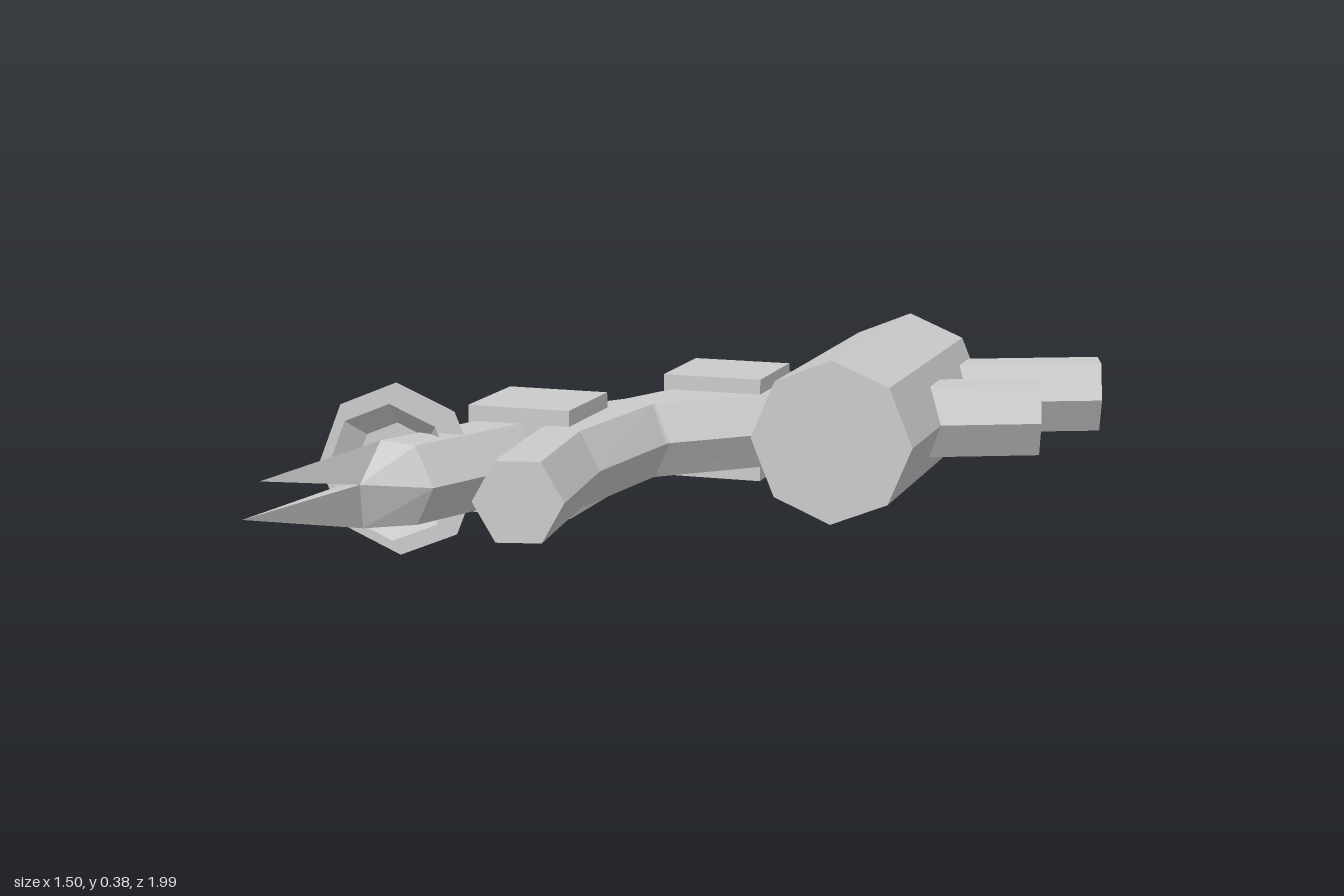
import * as THREE from 'three';
import { ConvexGeometry } from 'three/addons/geometries/ConvexGeometry.js';

const MID = 0.195; // height of every part's axis
const HALF = 0.085; // half height of the hexagonal limbs

const material = new THREE.MeshStandardMaterial({ color: 0xcccccc, flatShading: true });
const thinMaterial = new THREE.MeshStandardMaterial({
  color: 0xcccccc, flatShading: true, side: THREE.DoubleSide,
});

function part(name, geometry, mat = material) {
  const mesh = new THREE.Mesh(geometry, mat);
  mesh.name = name;
  return mesh;
}

// Hexagon between two side corners, given as [x, z] pairs
function hexRing([ax, az, bx, bz]) {
  const at = (t, y) => new THREE.Vector3(ax + (bx - ax) * t, MID + y, az + (bz - az) * t);
  return [at(0, 0), at(0.25, HALF), at(0.75, HALF), at(1, 0), at(0.75, -HALF), at(0.25, -HALF)];
}

// Hexagonal limb swept through a list of cross-sections, closed at both ends
function limb(name, sections) {
  const rings = sections.map(hexRing);
  const points = [];
  for (let r = 0; r < rings.length - 1; r++) {
    const p = rings[r], q = rings[r + 1];
    for (let i = 0; i < 6; i++) {
      const j = (i + 1) % 6;
      points.push(p[i], q[i], q[j], p[i], q[j], p[j]);
    }
  }
  const first = rings[0], last = rings[rings.length - 1];
  for (let i = 1; i < 5; i++) {
    points.push(first[0], first[i], first[i + 1], last[0], last[i + 1], last[i]);
  }
  const geometry = new THREE.BufferGeometry().setFromPoints(points);
  geometry.computeVertexNormals();
  return part(name, geometry);
}

// Shallow eight-sided dome bulging towards the back
function dome(name, x, rimZ) {
  const profile = [[0.15, 0], [0.1, 0.04], [0, 0.06]].map(([r, h]) => new THREE.Vector2(r, h));
  const geometry = new THREE.LatheGeometry(profile, 8);
  geometry.rotateX(-Math.PI / 2);
  const mesh = part(name, geometry, thinMaterial);
  mesh.position.set(x, MID, rimZ);
  return mesh;
}

export function createModel() {
  const group = new THREE.Group();
  group.name = 'model';

  // Octagonal body with a domed back
  const body = part('body', new THREE.CylinderGeometry(0.19, 0.19, 0.74, 8).rotateX(Math.PI / 2));
  body.position.set(0.25, MID, -0.472);
  group.add(body, dome('bodyDome', 0.25, -0.803));

  // Two short stubs on the left side
  group.add(
    limb('rearStub', [[0.325, -0.64, 0.25, -0.81], [0.745, -0.815, 0.695, -1.0]]),
    limb('frontStub', [[0.325, -0.33, 0.25, -0.50], [0.66, -0.475, 0.61, -0.655]]),
  );

  // Jointed arm and the plain limb beside it
  const wrist = [-0.595, 0.55, -0.41, 0.605];
  group.add(
    limb('arm', [
      [0.14, -0.70, 0.28, -0.575],
      [-0.13, -0.39, 0.03, -0.30],
      [-0.265, -0.065, -0.10, 0.02],
      [-0.43, 0.15, -0.26, 0.23],
      wrist,
    ]),
    limb('sideLimb', [
      [0.11, -0.40, 0.21, -0.27],
      [-0.265, -0.065, -0.10, 0.015],
      [-0.325, 0.34, -0.14, 0.34],
      [-0.285, 0.695, -0.10, 0.65],
    ]),
  );

  // Cube joints on the arm
  for (const [name, x, z] of [['upperJoint', -0.0625, -0.3075], ['lowerJoint', -0.3425, 0.1875]]) {
    const joint = part(name, new THREE.BoxGeometry(0.236, 0.24, 0.236));
    joint.position.set(x, MID, z);
    group.add(joint);
  }

  // Hand wedge with two long spikes
  const ring = hexRing(wrist);
  const palm = new THREE.Vector3(-0.54, 0.21, 0.685);
  const heel = new THREE.Vector3(-0.55, MID - HALF, 0.655);
  group.add(
    part('hand', new ConvexGeometry([...ring, palm, heel])),
    part('upperSpike', new ConvexGeometry([
      ring[0], ring[1], palm, new THREE.Vector3(-0.605, 0.277, 0.99)])),
    part('lowerSpike', new ConvexGeometry([
      ring[0], heel, palm, new THREE.Vector3(-0.65, 0.195, 0.985)])),
  );

  // Flat wrist disc with a dome through it
  const disc = part('wristDisc', new THREE.CircleGeometry(0.19, 8), thinMaterial);
  disc.position.set(-0.56, MID, 0.457);
  group.add(disc, dome('wristDome', -0.56, 0.495));

  return group;
}
